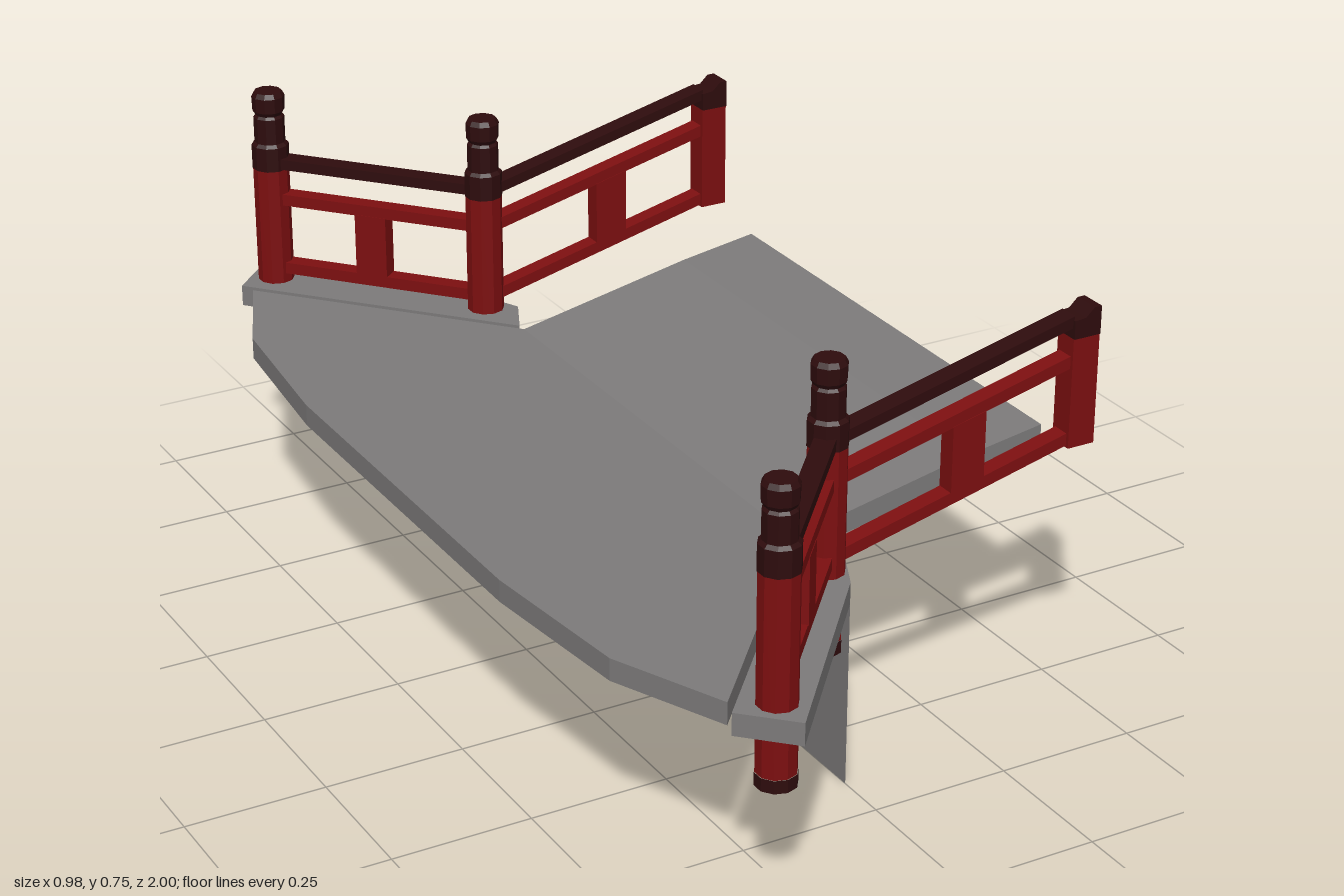
import * as THREE from 'three';

export function createModel() {
  const model = new THREE.Group();
  const mat = (name, color) => new THREE.MeshStandardMaterial({ name, color, flatShading: true });
  const stone = mat('stone grey', 0x7c7a7a);
  const red = mat('painted red', 0x7d0f10);
  const dark = mat('dark metal', 0x2e0c0d);

  const add = (parent, name, geometry, material) => {
    const mesh = new THREE.Mesh(geometry, material);
    mesh.name = name;
    parent.add(mesh);
    return mesh;
  };

  // Slab with an [x, z] outline, between two heights
  const slab = (outline, bottom, top) => {
    const shape = new THREE.Shape(outline.map(([x, z]) => new THREE.Vector2(x, z)));
    return new THREE.ExtrudeGeometry(shape, { depth: top - bottom, bevelEnabled: false })
      .rotateX(Math.PI / 2).translate(0, top, 0);
  };

  // Outline in x, y extruded along z, centred on the given z
  const plate = (outline, z, width) => {
    const shape = new THREE.Shape(outline.map(([x, y]) => new THREE.Vector2(x, y)));
    return new THREE.ExtrudeGeometry(shape, { depth: width, bevelEnabled: false })
      .translate(0, 0, z - width / 2);
  };

  // Bar from a to b with upright ends
  const beam = (a, b, height, width) => {
    const g = new THREE.BoxGeometry(1, 1, 1);
    const side = new THREE.Vector3(a.z - b.z, 0, b.x - a.x).normalize();
    const up = new THREE.Vector3(0, 1, 0);
    const p = g.attributes.position;
    const v = new THREE.Vector3();
    for (let i = 0; i < p.count; i++) {
      v.lerpVectors(a, b, p.getX(i) + 0.5)
        .addScaledVector(up, p.getY(i) * height)
        .addScaledVector(side, p.getZ(i) * width);
      p.setXYZ(i, v.x, v.y, v.z);
    }
    g.computeVertexNormals();
    return g;
  };

  const turned = (points, x, z) => new THREE.LatheGeometry(
    points.map(([r, y]) => new THREE.Vector2(r, y)), 10).translate(x, 0, z);

  // Landing with a faceted front edge
  const half = [[0, 0.479], [-0.365, 0.89], [-0.455, 0.685], [-0.487, 0.375]];
  const mirrored = half.map(([x, z]) => [x, -z]).reverse();
  add(model, 'landing', slab([...half, ...mirrored], 0.335, 0.375), stone);

  // Rising bridge deck
  add(model, 'risingDeck', plate([
    [0, 0.335], [0.34, 0.41], [0.487, 0.431], [0.487, 0.467], [0.34, 0.444], [0, 0.375],
  ], 0, 0.958), stone);

  const buildPost = (parent, x, z) => {
    const post = new THREE.Group();
    post.name = 'post';
    add(post, 'postFoot', turned([[0, 0.235], [0.035, 0.235], [0.035, 0.258]], x, z), dark);
    add(post, 'postShaft', turned([[0.034, 0.258], [0.034, 0.602]], x, z), red);
    add(post, 'postCap', turned([
      [0.035, 0.602], [0.035, 0.648], [0.029, 0.654], [0.029, 0.703], [0.025, 0.708],
      [0.03, 0.716], [0.031, 0.744], [0.026, 0.753], [0, 0.753],
    ], x, z), dark);
    parent.add(post);
  };

  // Rails and centre panel; yEnd is the rise from start to end
  const buildRails = (parent, name, start, end, rise, panelAt, panelLength) => {
    const rails = new THREE.Group();
    rails.name = name;
    const at = (t, y) => new THREE.Vector3(
      THREE.MathUtils.lerp(start[0], end[0], t), y + rise * t,
      THREE.MathUtils.lerp(start[1], end[1], t));
    add(rails, 'topRail', beam(at(0, 0.615), at(1, 0.615), 0.02, 0.036), dark);
    add(rails, 'middleRail', beam(at(0, 0.543), at(1, 0.543), 0.022, 0.032), red);
    add(rails, 'lowerRail', beam(at(0, 0.404), at(1, 0.404), 0.022, 0.032), red);
    const length = Math.hypot(end[0] - start[0], end[1] - start[1]);
    const d = panelLength / length / 2;
    add(rails, 'railPanel', beam(at(panelAt - d, 0.4735), at(panelAt + d, 0.4735), 0.12, 0.034), red);
    parent.add(rails);
  };

  for (const s of [1, -1]) {
    const side = new THREE.Group();
    side.name = s > 0 ? 'frontSide' : 'backSide';
    model.add(side);
    const flip = (pts) => pts.map(([x, z]) => [x, z * s]);

    // Angled kerb and the pier at its corner
    add(side, 'kerb', slab(flip([
      [0, 0.497], [0.038, 0.577], [0, 0.656], [-0.295, 1], [-0.375, 0.92],
    ]), 0.335, 0.375), stone);
    add(side, 'pier', slab(flip([[0, 0.497], [0.038, 0.577], [0, 0.656]]), 0, 0.335), stone);

    // Railing along the kerb, then up the bridge
    const outer = [-0.3, 0.927 * s], inner = [-0.016, 0.603 * s];
    buildPost(side, ...outer);
    buildPost(side, ...inner);
    buildRails(side, 'kerbRailing', outer, inner, 0, 0.48, 0.062);
    buildRails(side, 'bridgeRailing', [0, 0.603 * s], [0.44, 0.603 * s], 0.106, 0.553, 0.063);

    // End post with a stepped dark cap
    add(side, 'endPost', plate([
      [0.437, 0.495], [0.488, 0.495], [0.488, 0.692], [0.437, 0.692],
    ], 0.603 * s, 0.044), red);
    add(side, 'endPostCap', plate([
      [0.437, 0.692], [0.488, 0.692], [0.488, 0.742], [0.474, 0.742], [0.458, 0.727], [0.437, 0.725],
    ], 0.603 * s, 0.048), dark);
  }
  return model;
}
